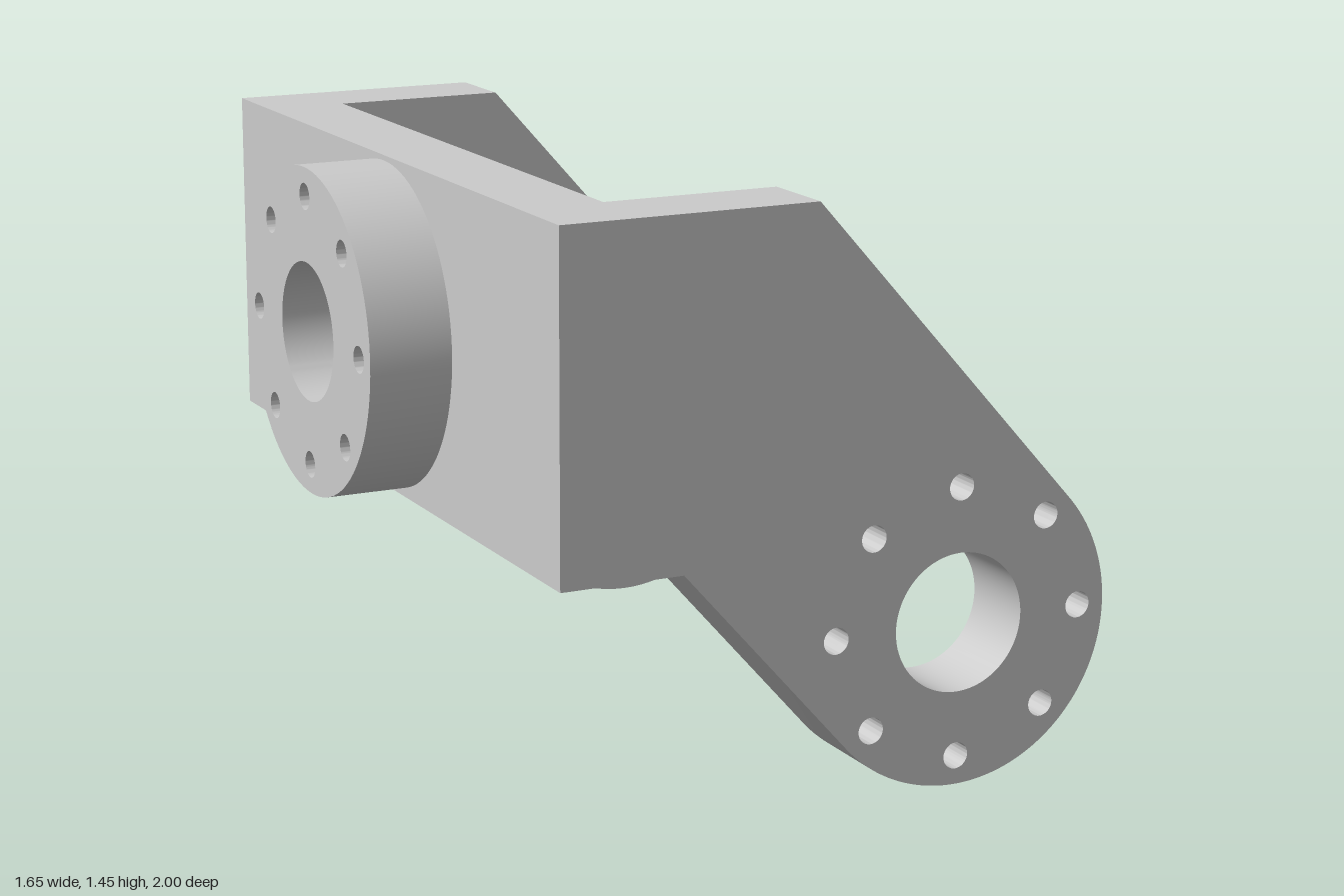
import * as THREE from 'three';
import { toCreasedNormals } from 'three/addons/utils/BufferGeometryUtils.js';

const R = 0.405;          // rounded arm end and flange radius
const TOP = 1.45, LOW = 0.617;
const BACK = -0.62;       // outer face of the cross wall
const WALL = 0.207;       // plate thickness

// Central bore plus a ring of eight bolt holes
function addBoltPattern(shape, cx, cy) {
  const hole = (x, y, r) => {
    const path = new THREE.Path();
    path.absarc(x, y, r, 0, Math.PI * 2, true);
    shape.holes.push(path);
  };
  hole(cx, cy, 0.172);
  for (let i = 0; i < 8; i++) {
    const a = i * Math.PI / 4;
    hole(cx + 0.333 * Math.cos(a), cy + 0.333 * Math.sin(a), 0.033);
  }
  return shape;
}

// Plate of one wall thickness; outlines run counter-clockwise
function plate(name, shape, material) {
  const geometry = new THREE.ExtrudeGeometry(shape, { depth: WALL, bevelEnabled: false, curveSegments: 48 });
  const mesh = new THREE.Mesh(toCreasedNormals(geometry, 0.5), material);
  mesh.name = name;
  return mesh;
}

export function createModel() {
  const group = new THREE.Group();
  group.name = 'yokeBracket';
  const material = new THREE.MeshStandardMaterial({ color: 0xcccccc });

  // Side arms: square at the back, sloping down to a rounded end
  const cx = 0.422, cy = R;
  const tangent = THREE.MathUtils.degToRad(42.3);
  const arm = new THREE.Shape();
  arm.moveTo(BACK, TOP);
  arm.lineTo(BACK, LOW);
  arm.lineTo(-0.31, LOW);
  arm.absarc(cx, cy, R, tangent - Math.PI, tangent, false);
  arm.lineTo(0.03, TOP);
  arm.closePath();
  addBoltPattern(arm, cx, cy);
  for (const [name, z] of [['frontArm', 1 - WALL], ['backArm', -1]]) {
    const mesh = plate(name, arm, material);
    mesh.position.z = z;
    group.add(mesh);
  }

  // Cross wall joining the arms
  const hubY = 1.032, half = 1 - WALL;
  const wall = new THREE.Shape();
  wall.moveTo(-half, LOW);
  wall.lineTo(half, LOW);
  wall.lineTo(half, TOP);
  wall.lineTo(-half, TOP);
  wall.closePath();
  const wallMesh = plate('crossWall', addBoltPattern(wall, 0, hubY), material);
  wallMesh.rotation.y = -Math.PI / 2;
  wallMesh.position.x = BACK + WALL;
  group.add(wallMesh);

  // Round mounting flange outside the wall
  const disc = new THREE.Shape();
  disc.absarc(0, hubY, R, 0, Math.PI * 2, false);
  const flange = plate('mountingFlange', addBoltPattern(disc, 0, hubY), material);
  flange.rotation.y = -Math.PI / 2;
  flange.position.x = BACK;
  group.add(flange);

  return group;
}
